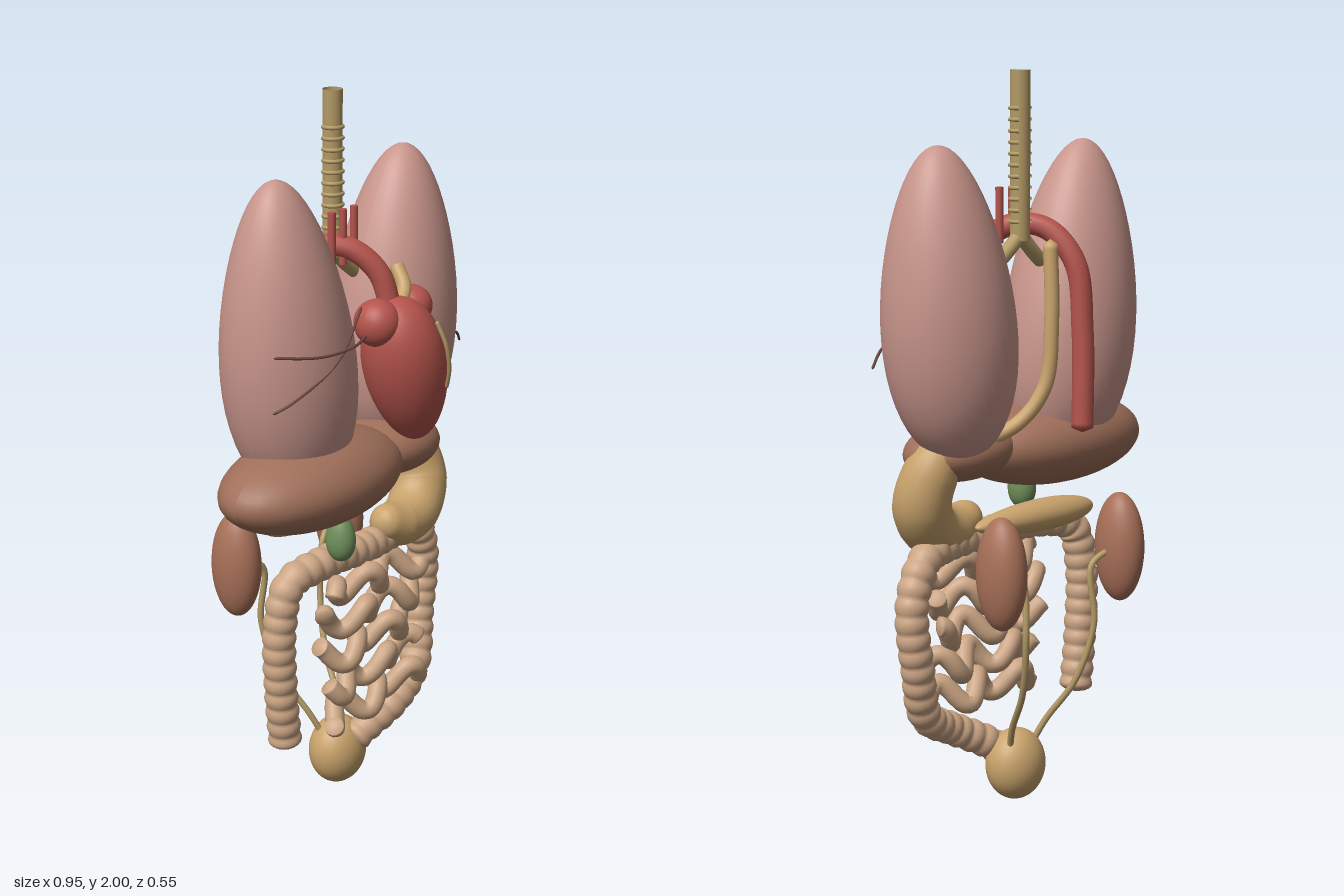
import * as THREE from 'three';
import { mergeVertices } from 'three/addons/utils/BufferGeometryUtils.js';

const COLORS = {
  lung: 0xc9968c, heart: 0xb5544c, liver: 0xa0705a, airway: 0xb39a66, stomach: 0xc9a36c,
  bowel: 0xcba584, kidney: 0xa87058, gall: 0x6f8f5a, line: 0x6e4a40,
};
const materials = {};
const mat = (key) => (materials[key] ??= new THREE.MeshStandardMaterial({
  color: COLORS[key], side: THREE.DoubleSide,
}));

export function createModel() {
  const model = new THREE.Group();
  model.name = 'internalOrgans';

  const add = (name, geometry, key, parent = model) => {
    const mesh = new THREE.Mesh(geometry, mat(key));
    mesh.name = name;
    parent.add(mesh);
    return mesh;
  };
  const group = (name) => {
    const g = new THREE.Group();
    g.name = name;
    model.add(g);
    return g;
  };

  // Ellipsoid; taper narrows the top and lean shifts the top sideways
  const blob = (name, key, [x, y, z], [rx, ry, rz], { taper = 0, lean = 0, parent } = {}) => {
    const geo = new THREE.SphereGeometry(1, 40, 28);
    const p = geo.attributes.position;
    for (let i = 0; i < p.count; i++) {
      const t = p.getY(i), f = 1 - taper * t;
      p.setXYZ(i, p.getX(i) * rx * f + lean * t, t * ry, p.getZ(i) * rz * f);
    }
    geo.computeVertexNormals();
    const mesh = add(name, geo, key, parent);
    mesh.position.set(x, y, z);
    return mesh;
  };

  // Closed tube along a smooth path; radius may be a rule of t, round gives domed ends
  const tube = (name, key, points, radius, { n = 48, sides = 14, round = 0, parent } = {}) => {
    const curve = new THREE.CatmullRomCurve3(points.map((a) => new THREE.Vector3(...a)));
    const geo = new THREE.TubeGeometry(curve, n, 1, sides);
    const p = geo.attributes.position, v = new THREE.Vector3();
    for (let i = 0; i <= n; i++) {
      const t = i / n, c = curve.getPointAt(t);
      const end = Math.min(t, 1 - t);
      let r = typeof radius === 'function' ? radius(t) : radius;
      if (i === 0 || i === n) r = 0;
      else if (end < round) r *= Math.sqrt(1 - (1 - end / round) ** 2);
      for (let j = 0; j <= sides; j++) {
        const k = i * (sides + 1) + j;
        v.fromBufferAttribute(p, k).sub(c).multiplyScalar(r).add(c);
        p.setXYZ(k, v.x, v.y, v.z);
      }
    }
    geo.deleteAttribute('uv');
    geo.deleteAttribute('normal');
    const merged = mergeVertices(geo, 1e-5);
    merged.computeVertexNormals();
    return add(name, merged, key, parent);
  };

  // Linear interpolation through a short list of radii
  const radii = (list) => (t) => {
    const s = t * (list.length - 1), i = Math.min(Math.floor(s), list.length - 2);
    return THREE.MathUtils.lerp(list[i], list[i + 1], s - i);
  };

  // Lungs and their fissure lines
  blob('rightLung', 'lung', [-0.2, 1.37, -0.018], [0.195, 0.44, 0.168], { taper: 0.22, lean: -0.045 });
  blob('leftLung', 'lung', [0.288, 1.392, -0.018], [0.186, 0.42, 0.168], { taper: 0.2, lean: 0.035 });
  const fissures = group('lungFissures');
  [
    [[-0.385, 1.385, 0.08], [-0.28, 1.375, 0.15], [-0.16, 1.375, 0.165], [-0.06, 1.38, 0.14]],
    [[-0.39, 1.235, 0.08], [-0.34, 1.265, 0.115], [-0.2, 1.345, 0.15], [-0.07, 1.46, 0.13]],
    [[0.47, 1.235, 0.08], [0.41, 1.275, 0.11], [0.32, 1.315, 0.13], [0.22, 1.41, 0.13]],
  ].forEach((pts) => tube('fissure', 'line', pts, 0.004, { sides: 6, parent: fissures }));

  // Windpipe with C-shaped rings open at the back, and two bronchi
  const airway = group('airway');
  const pipe = add('windpipe', new THREE.CylinderGeometry(0.027, 0.027, 0.45, 24, 1, true), 'airway', airway);
  pipe.position.set(0.038, 1.775, -0.045);
  for (let i = 0; i < 11; i++) {
    const ring = add('windpipeRing', new THREE.TorusGeometry(0.027, 0.0055, 8, 24, Math.PI * 1.4), 'airway', airway);
    ring.rotation.set(Math.PI / 2, 0, -Math.PI * 0.2);
    ring.position.set(0.038, 1.6 + i * 0.03, -0.045);
  }
  tube('rightBronchus', 'airway', [[0.038, 1.565, -0.045], [-0.02, 1.51, -0.045], [-0.1, 1.45, -0.04]], 0.02, { parent: airway });
  tube('leftBronchus', 'airway', [[0.038, 1.565, -0.045], [0.09, 1.52, -0.043], [0.145, 1.48, -0.04]], 0.02, { parent: airway });

  // Gullet behind the windpipe
  tube('gullet', 'stomach', [[0.04, 1.56, -0.155], [0.045, 1.35, -0.165], [0.06, 1.17, -0.155],
    [0.12, 1.07, -0.11], [0.24, 1.01, -0.03]], 0.02);

  // Heart with two atria, a vessel stub and a surface artery
  const heart = group('heart');
  const ventricles = blob('ventricles', 'heart', [0.12, 1.245, 0.14], [0.114, 0.215, 0.115], { taper: -0.14, parent: heart });
  ventricles.rotation.z = 0.27;
  blob('rightAtrium', 'heart', [0.015, 1.395, 0.12], [0.062, 0.065, 0.065], { parent: heart });
  blob('leftAtrium', 'heart', [0.17, 1.41, 0.12], [0.057, 0.057, 0.06], { parent: heart });
  tube('lungVessel', 'stomach', [[0.11, 1.43, 0.13], [0.145, 1.465, 0.115], [0.165, 1.515, 0.075]], 0.02, { parent: heart });
  tube('surfaceArtery', 'airway', [[0.11, 1.4, 0.245], [0.125, 1.33, 0.268], [0.145, 1.26, 0.265], [0.162, 1.2, 0.245]],
    0.006, { sides: 8, parent: heart });

  // Aorta arching backward and down, with three branches on top
  const aorta = group('aorta');
  tube('aorticArch', 'heart', [[0.085, 1.4, 0.12], [0.065, 1.52, 0.085], [0.02, 1.585, 0.015], [-0.035, 1.58, -0.07],
    [-0.07, 1.49, -0.145], [-0.08, 1.3, -0.165], [-0.075, 1.03, -0.17]], 0.03, { n: 72, parent: aorta });
  for (const x of [-0.04, 0.01, 0.06]) {
    const branch = add('aorticBranch', new THREE.CylinderGeometry(0.011, 0.011, 0.15, 14), 'heart', aorta);
    branch.position.set(x, 1.615, 0.01);
  }

  // Liver lobes and gallbladder
  blob('liverRightLobe', 'liver', [-0.15, 0.985, 0.025], [0.33, 0.125, 0.187]);
  const lobe = blob('liverLeftLobe', 'liver', [0.19, 0.995, 0.03], [0.18, 0.083, 0.13]);
  lobe.rotation.z = -0.06;
  blob('gallbladder', 'gall', [-0.155, 0.84, 0.125], [0.037, 0.068, 0.042], { taper: 0.15 });

  // Stomach and pancreas
  tube('stomach', 'stomach', [[0.27, 1.03, -0.005], [0.315, 0.95, 0.02], [0.325, 0.86, 0.045], [0.275, 0.79, 0.065],
    [0.19, 0.77, 0.075], [0.08, 0.81, 0.08]], radii([0.06, 0.075, 0.08, 0.077, 0.066, 0.038]), { n: 60, sides: 24, round: 0.08 });
  const pancreas = blob('pancreas', 'stomach', [0.05, 0.81, -0.11], [0.043, 0.23, 0.052], { taper: 0.15 });
  pancreas.rotation.z = -Math.PI / 2;

  // Large bowel with ring-like bulges
  tube('largeBowel', 'bowel', [[-0.26, 0.235, 0.015], [-0.285, 0.4, 0.02], [-0.295, 0.6, 0.025], [-0.265, 0.715, 0.035],
    [-0.15, 0.745, 0.055], [0.04, 0.74, 0.065], [0.22, 0.735, 0.05], [0.34, 0.71, 0.025], [0.395, 0.6, 0.015],
    [0.375, 0.42, 0.015], [0.32, 0.28, 0.04], [0.2, 0.215, 0.055], [0.1, 0.165, 0.03], [0.05, 0.13, 0.01]],
  (t) => 0.041 + 0.006 * Math.abs(Math.sin(t * Math.PI * 42)), { n: 336, sides: 18, round: 0.012 });

  // Small bowel: stacked wavy loops
  const loops = group('smallBowel');
  for (let row = 0; row < 5; row++) {
    const pts = [];
    for (let i = 0; i <= 24; i++) {
      const a = (i / 24) * Math.PI * 6 + row * 0.9;
      pts.push([-0.17 + i * 0.0175, 0.655 - row * 0.088 + 0.033 * Math.sin(a), 0.085 + 0.028 * Math.cos(a * 0.7 + row)]);
    }
    tube('smallBowelLoop', 'bowel', pts, 0.027, { n: 96, parent: loops });
  }

  // Kidneys with ureters leading to the bladder
  for (const [side, s] of [['left', 1], ['right', -1]]) {
    const x = 0.04 + s * 0.238;
    blob(side + 'Kidney', 'kidney', [x, 0.7, -0.2], [0.059, 0.152, 0.075]);
    tube(side + 'Ureter', 'airway', [[x - s * 0.04, 0.7, -0.2], [x - s * 0.1, 0.66, -0.185], [x - s * 0.1, 0.5, -0.195],
      [x - s * 0.13, 0.34, -0.155], [x - s * 0.17, 0.22, -0.08], [0.04 + s * 0.04, 0.14, -0.045]], 0.009, { sides: 10 });
  }
  blob('bladder', 'stomach', [0.04, 0.1, -0.03], [0.09, 0.1, 0.078]);

  return model;
}
